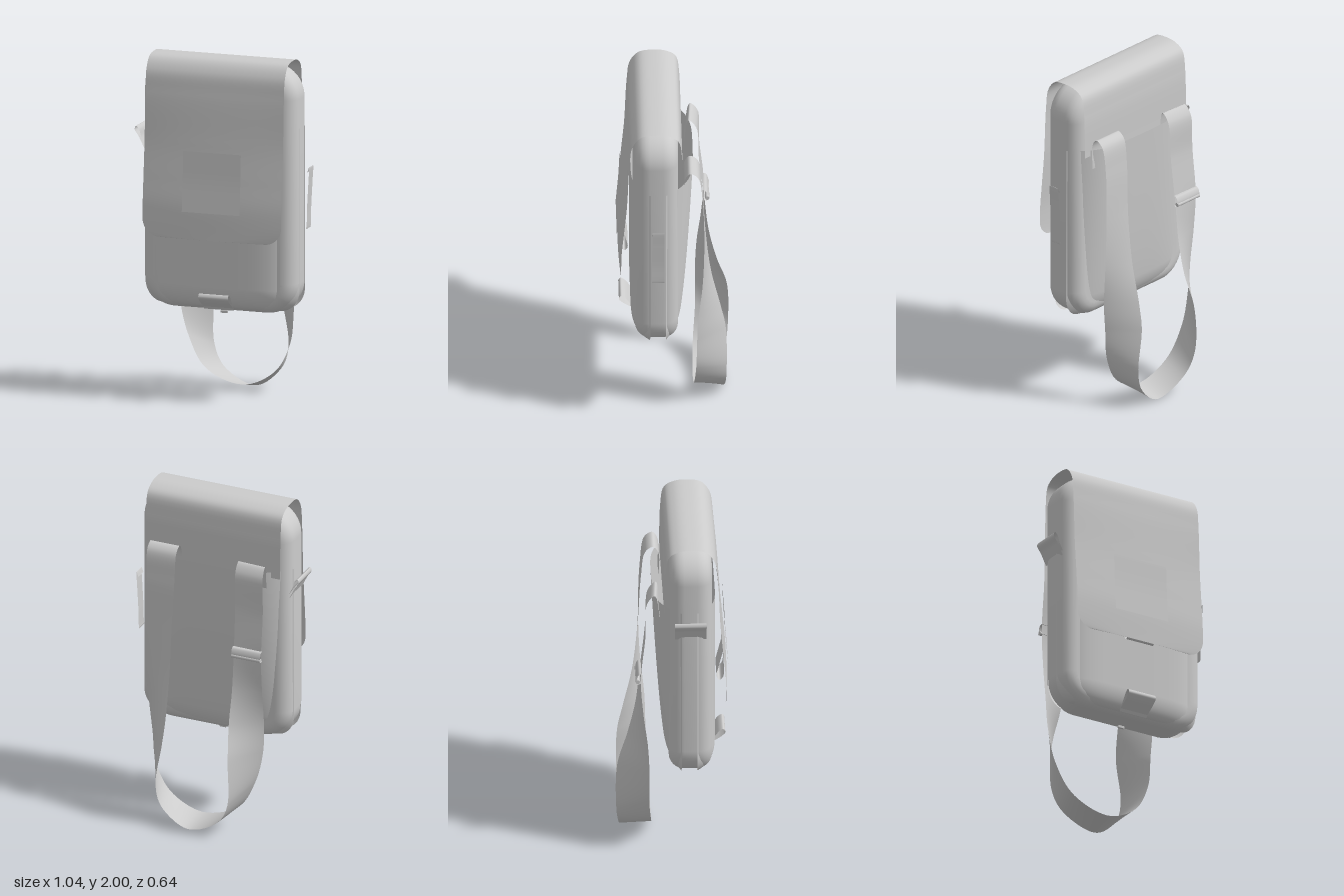
import * as THREE from 'three';
import { toCreasedNormals } from 'three/addons/utils/BufferGeometryUtils.js';
import { ParametricGeometry } from 'three/addons/geometries/ParametricGeometry.js';

const material = new THREE.MeshStandardMaterial({ color: 0xcccccc, side: THREE.DoubleSide });
const V = (x, y, z) => new THREE.Vector3(x, y, z);

export function createModel() {
  const group = new THREE.Group();
  const add = (name, geometry) => {
    const mesh = new THREE.Mesh(geometry, material);
    mesh.name = name;
    group.add(mesh);
    return mesh;
  };

  // Thin band stretched between two smooth edge curves
  const ribbon = (name, edgeA, edgeB, length = 32, across = 4) => {
    const a = new THREE.CatmullRomCurve3(edgeA);
    const b = new THREE.CatmullRomCurve3(edgeB);
    return add(name, new ParametricGeometry((u, v, p) => {
      p.lerpVectors(a.getPoint(u), b.getPoint(u), v);
    }, length, across));
  };
  // Band of constant width that runs along x, from a list of [z, y]
  const bandX = (name, x0, x1, profile, length) => ribbon(name,
    profile.map(([z, y]) => V(x0, y, z)), profile.map(([z, y]) => V(x1, y, z)), length);
  // Band of constant width that runs along z, from a list of [x, y]
  const bandZ = (name, z0, z1, profile, length) => ribbon(name,
    profile.map(([x, y]) => V(x, y, z0)), profile.map(([x, y]) => V(x, y, z1)), length);

  // Soft padded main compartment
  const bevel = 0.085, w = 0.465 - bevel, h = 0.72 - bevel, r = 0.1;
  const outline = new THREE.Shape();
  outline.absarc(w - r, h - r, r, 0, Math.PI / 2);
  outline.absarc(r - w, h - r, r, Math.PI / 2, Math.PI);
  outline.absarc(r - w, r - h, r, Math.PI, Math.PI * 1.5);
  outline.absarc(w - r, r - h, r, Math.PI * 1.5, Math.PI * 2);
  outline.closePath();
  const bodyGeometry = new THREE.ExtrudeGeometry(outline, {
    depth: 0.245 - 2 * bevel, bevelSize: bevel, bevelThickness: bevel, bevelSegments: 6, curveSegments: 8,
  });
  bodyGeometry.translate(-0.005, 1.25, -0.02 + bevel);
  add('mainCompartment', toCreasedNormals(bodyGeometry, 1));

  // Outer pocket panels, open at the top and closing in towards the bottom
  const pocket = (name, baseZ, depth, power) => add(name, new ParametricGeometry((u, v, p) => {
    const k = v * v, s = 2 * u - 1, y = 0.545 + 1.07 * k;
    const t = 1 - Math.min(1, (y - 0.545) / 0.13);
    const round = Math.sqrt(1 - t * t);
    const bulge = (1 - Math.abs(s) ** power) * (0.35 + 0.65 * round);
    p.set(-0.005 + s * (0.468 - 0.11 * (1 - round)), y, baseZ + depth(k) * bulge);
  }, 40, 40));
  pocket('frontPocket', 0.14, () => 0.108, 6);
  pocket('backPocket', 0.05, (k) => -0.06 - 0.1 * Math.sqrt(k), 4);

  // Flap: up the back, over the top and down the front to rounded corners
  const flapPath = new THREE.CatmullRomCurve3([
    [-0.048, 1.58], [-0.042, 1.84], [-0.022, 1.955], [0.03, 1.99], [0.1, 2], [0.19, 1.985],
    [0.24, 1.92], [0.257, 1.8], [0.272, 1.5], [0.29, 1.3], [0.303, 1.15], [0.305, 0.96],
  ].map(([z, y]) => V(0, y, z)));
  add('flap', new ParametricGeometry((u, v, p) => {
    p.copy(flapPath.getPoint(1 - (1 - v) ** 2));
    const drop = p.z > 0.2 ? Math.min(0.1, Math.max(0, 1.06 - p.y)) : 0;
    const halfWidth = 0.42 - (0.1 - Math.sqrt(Math.max(0, 0.01 - drop * drop)));
    const s = 2 * u - 1;
    if (p.z > 0.2) p.z += 0.012 * (1 - s * s) * Math.min(1, (2 - p.y) * 2);
    p.x = -0.01 + s * halfWidth;
  }, 16, 90));

  // Square patch on the flap and the clasp loop under its edge
  bandX('flapPatch', -0.185, 0.165, [[0.302, 1.47], [0.31, 1.3], [0.325, 1.12]], 8);
  bandX('flapClasp', -0.09, 0.09, [[0.3, 1.16], [0.275, 1.06], [0.262, 0.99], [0.28, 0.967], [0.3, 0.99], [0.302, 1.1]]);

  // Folded pull tab at the bottom front
  bandX('bottomTab', -0.09, 0.09,
    [[0.21, 0.54], [0.245, 0.59], [0.28, 0.635], [0.3, 0.645], [0.312, 0.625], [0.29, 0.6], [0.22, 0.555]]);

  // Folded side tab, and the narrow strip standing off the other side
  bandZ('sideTab', 0.01, 0.19,
    [[-0.46, 1.44], [-0.495, 1.51], [-0.52, 1.55], [-0.512, 1.57], [-0.495, 1.555], [-0.48, 1.51], [-0.46, 1.47]]);
  bandZ('sideStrip', 0.06, 0.13,
    [[0.505, 1.36], [0.516, 1.39], [0.512, 1.3], [0.504, 1.15], [0.5, 1.03], [0.497, 1.04]]);

  // Small stud below the base
  add('baseStud', new THREE.BoxGeometry(0.04, 0.014, 0.014)).position.set(-0.01, 0.505, 0.095);

  // Shoulder strap: outer edge xyz, then inner edge xyz, from one anchor to the other
  const strap = [
    [0.36, 1.5, -0.06, 0.18, 1.5, -0.06],
    [0.36, 1.65, -0.06, 0.18, 1.65, -0.06],
    [0.36, 1.69, -0.09, 0.18, 1.69, -0.09],
    [0.36, 1.66, -0.135, 0.18, 1.66, -0.135],
    [0.355, 1.5, -0.16, 0.18, 1.5, -0.16],
    [0.36, 1.2, -0.17, 0.19, 1.2, -0.178],
    [0.36, 0.9, -0.16, 0.19, 0.9, -0.21],
    [0.345, 0.65, -0.135, 0.19, 0.65, -0.265],
    [0.33, 0.5, -0.13, 0.2, 0.5, -0.295],
    [0.31, 0.3, -0.125, 0.235, 0.25, -0.3],
    [0.22, 0.13, -0.115, 0.2, 0.12, -0.295],
    [0.03, 0.04, -0.11, 0.05, 0.004, -0.28],
    [-0.2, 0.12, -0.115, -0.15, 0.09, -0.3],
    [-0.31, 0.3, -0.13, -0.22, 0.22, -0.315],
    [-0.36, 0.5, -0.13, -0.22, 0.5, -0.31],
    [-0.37, 0.7, -0.14, -0.2, 0.7, -0.25],
    [-0.37, 0.9, -0.165, -0.2, 0.9, -0.205],
    [-0.37, 1.13, -0.18, -0.2, 1.13, -0.18],
    [-0.37, 1.4, -0.155, -0.195, 1.4, -0.15],
    [-0.365, 1.62, -0.145, -0.19, 1.62, -0.135],
    [-0.36, 1.67, -0.1, -0.19, 1.67, -0.09],
    [-0.355, 1.52, -0.07, -0.19, 1.52, -0.065],
  ];
  ribbon('shoulderStrap', strap.map((p) => V(p[0], p[1], p[2])), strap.map((p) => V(p[3], p[4], p[5])), 160, 6);

  // Folded strap end with its roller
  bandX('strapBuckle', -0.375, -0.195,
    [[-0.175, 1.17], [-0.192, 1.165], [-0.205, 1.13], [-0.195, 1.105], [-0.178, 1.11]], 20);
  const roller = add('buckleRoller', new THREE.CylinderGeometry(0.012, 0.012, 0.18, 12));
  roller.rotation.z = Math.PI / 2;
  roller.position.set(-0.285, 1.12, -0.198);

  return group;
}
